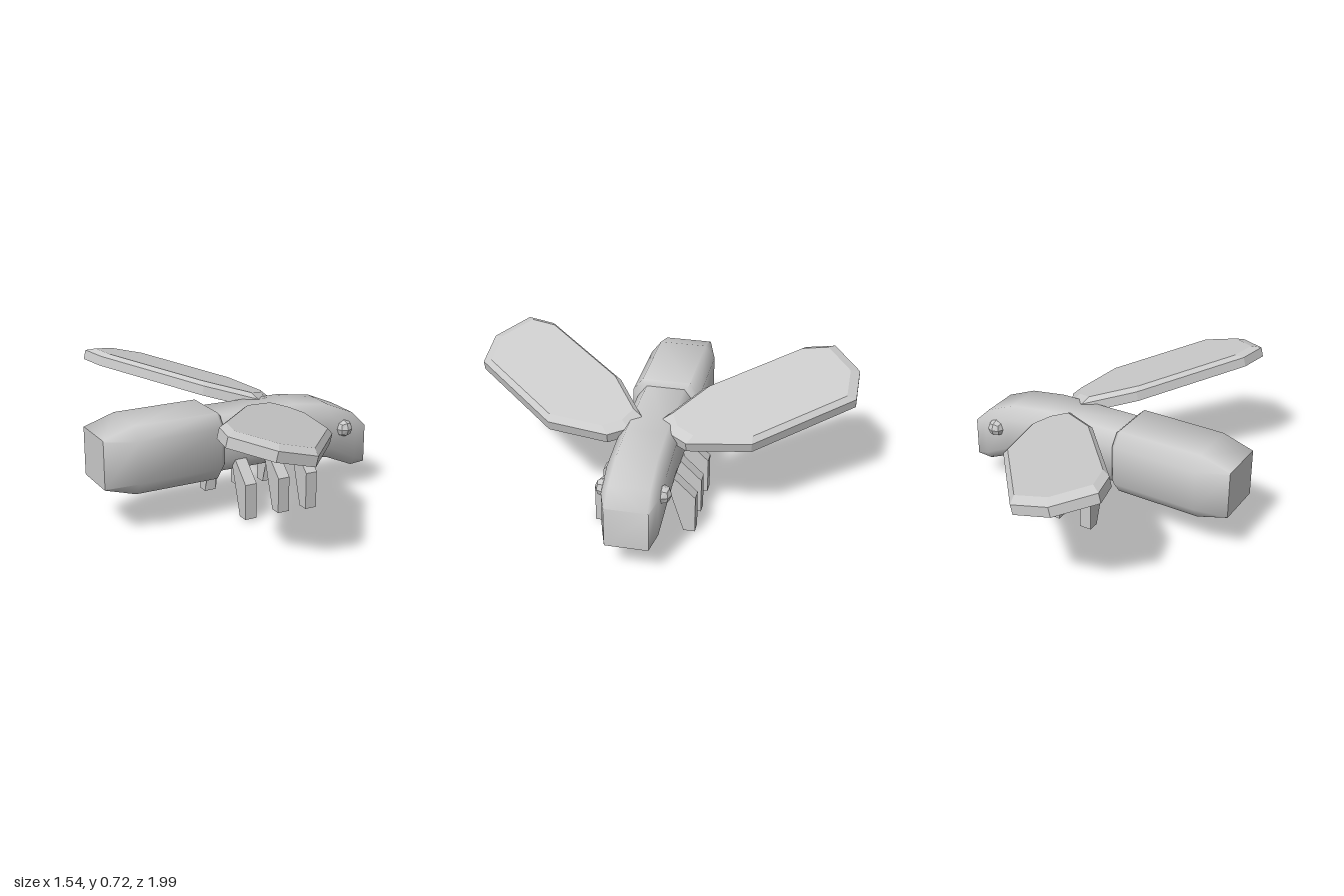
import * as THREE from 'three';
import { toCreasedNormals } from 'three/addons/utils/BufferGeometryUtils.js';

const smooth = new THREE.MeshStandardMaterial({ color: 0xcccccc });
const faceted = new THREE.MeshStandardMaterial({ color: 0xcccccc, flatShading: true });

// Closed solid through rings of equal point count, always facing outwards
function loft(rings) {
  const tris = [], n = rings[0].length, last = rings[rings.length - 1];
  for (let r = 0; r < rings.length - 1; r++) {
    for (let i = 0; i < n; i++) {
      const j = (i + 1) % n, A = rings[r], B = rings[r + 1];
      tris.push([A[i], A[j], B[j]], [A[i], B[j], B[i]]);
    }
  }
  for (let i = 1; i < n - 1; i++) {
    tris.push([rings[0][0], rings[0][i + 1], rings[0][i]], [last[0], last[i], last[i + 1]]);
  }
  const cross = new THREE.Vector3();
  const volume = tris.reduce((s, [a, b, c]) => s + a.dot(cross.crossVectors(b, c)), 0);
  if (volume < 0) tris.forEach(t => t.reverse());
  const geometry = new THREE.BufferGeometry().setFromPoints(tris.flat());
  geometry.computeVertexNormals();
  return geometry;
}

// Upright rectangle with cut corners; its top and bottom may differ in x
function section([xTop, yTop, xBottom, yBottom, half, cut]) {
  const h = yTop - yBottom, cutZ = cut * 0.75;
  const at = (y, z) =>
    new THREE.Vector3(THREE.MathUtils.lerp(xBottom, xTop, (y - yBottom) / h), y, z);
  const side = [[yBottom, half - cutZ], [yBottom + cut, half], [yTop - cut, half], [yTop, half - cutZ]];
  return [
    ...side.map(([y, z]) => at(y, z)),
    ...side.slice().reverse().map(([y, z]) => at(y, -z)),
  ];
}

function add(group, name, geometry, material) {
  const mesh = new THREE.Mesh(geometry, material);
  mesh.name = name;
  group.add(mesh);
  return mesh;
}

// Wing outline in x, z, laid on a sloping plane
const wingOutline = [
  [0.18, 0.055], [0.27, 0.10], [0.325, 0.20], [0.275, 0.52], [-0.11, 0.995],
  [-0.315, 0.995], [-0.485, 0.85], [-0.45, 0.70], [-0.06, 0.22],
];

function wing(side) {
  const layer = (height, scale) => wingOutline.map(([x0, z0]) => {
    const x = -0.06 + (x0 + 0.06) * scale, z = 0.52 + (z0 - 0.52) * scale;
    return new THREE.Vector3(x + 0.25 * height, 0.54 - 0.28 * x - 0.02 * z + height, side * z);
  });
  return loft([layer(0, 1), layer(0.05, 1), layer(0.072, 0.9)]);
}

// Bent leg: z, y profile given a thickness along x
const legProfile = [[0.2, 0], [0.26, 0], [0.26, 0.2], [0.15, 0.305], [0.11, 0.285], [0.2, 0.2]];

function leg(x, side, lift) {
  const ring = dx => legProfile.map(([z, y]) =>
    new THREE.Vector3(x + dx, y === 0 ? lift : y, side * z));
  return loft([ring(-0.0325), ring(0.0325)]);
}

// Ball made from a divided cube
function eyeGeometry(radius) {
  const geometry = new THREE.BoxGeometry(1, 1, 1, 2, 2, 2);
  const p = geometry.attributes.position, v = new THREE.Vector3();
  for (let i = 0; i < p.count; i++) {
    v.fromBufferAttribute(p, i).setLength(radius);
    p.setXYZ(i, v.x, v.y, v.z);
  }
  geometry.computeVertexNormals();
  return geometry;
}

export function createModel() {
  const model = new THREE.Group();
  model.name = 'insect';

  // Abdomen, tapering to a square tail end
  const abdomen = [
    [-0.77, 0.515, -0.77, 0.26, 0.13, 0.004],
    [-0.605, 0.567, -0.605, 0.21, 0.18, 0.07],
    [-0.15, 0.567, -0.15, 0.21, 0.18, 0.07],
    [-0.127, 0.545, -0.127, 0.232, 0.16, 0.06],
  ];
  add(model, 'abdomen', toCreasedNormals(loft(abdomen.map(section)), 1.05), smooth);

  // Thorax running into the drooping head
  const thorax = [
    [-0.2, 0.54, -0.2, 0.24, 0.15, 0.065],
    [0.33, 0.535, 0.37, 0.235, 0.15, 0.065],
    [0.53, 0.505, 0.54, 0.2, 0.15, 0.065],
    [0.69, 0.435, 0.69, 0.135, 0.14, 0.05],
    [0.77, 0.355, 0.77, 0.143, 0.11, 0.004],
  ];
  add(model, 'thoraxAndHead', toCreasedNormals(loft(thorax.map(section)), 1.05), smooth);

  // Paired parts
  const legs = [['rear', -0.025, 0.01], ['middle', 0.17, 0.01], ['front', 0.338, 0]];
  for (const side of [1, -1]) {
    const suffix = side > 0 ? 'Near' : 'Far';
    add(model, 'wing' + suffix, wing(side), faceted);
    add(model, 'eye' + suffix, eyeGeometry(0.047), faceted).position.set(0.61, 0.37, side * 0.143);
    for (const [name, x, lift] of legs) add(model, name + 'Leg' + suffix, leg(x, side, lift), faceted);
  }
  return model;
}
